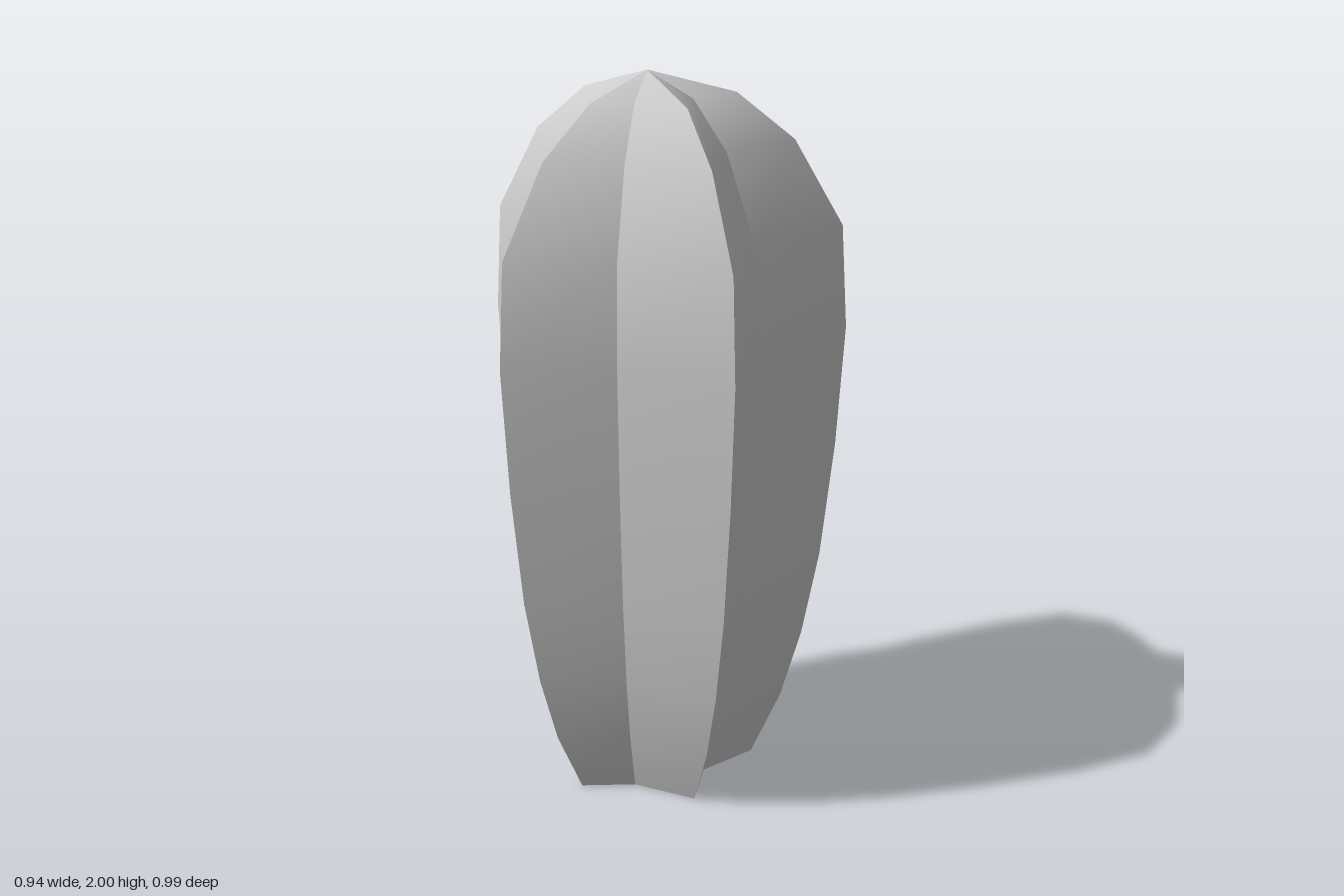
import * as THREE from 'three';

// Height and ridge radius of each ring, from the open base to the apex
const RINGS = [
  [0, 0.277], [0.18, 0.36], [0.375, 0.417], [0.62, 0.464], [0.95, 0.5],
  [1.29, 0.521], [1.575, 0.504], [1.81, 0.371], [1.938, 0.2156], [2, 0],
];
const POINTS = 5;
const VALLEY_RATIO = 0.645;
const RIDGE_X = -0.05;   // axis of the ridges
const AXIS_X = -0.069;   // axis of the valleys and apex

// Point number k around the star: even are ridges, odd are valleys
function starPoint(k, [y, r]) {
  const ridge = k % 2 === 0;
  const a = (k * Math.PI) / POINTS;
  const radius = ridge ? r : r * VALLEY_RATIO;
  const cx = ridge && r > 0 ? RIDGE_X : AXIS_X;
  return [cx + radius * Math.cos(a), y, radius * Math.sin(a)];
}

// One strip from base to apex between a ridge and the next valley
function panelGeometry(k) {
  const positions = [];
  const index = [];
  RINGS.forEach((ring, j) => {
    positions.push(...starPoint(k, ring), ...starPoint(k + 1, ring));
    if (j === RINGS.length - 1) return;
    const a = 2 * j, b = a + 1, d = a + 2, c = a + 3;
    index.push(b, a, d);
    if (j < RINGS.length - 2) index.push(b, d, c);
  });
  // The last strip triangle closes on the apex vertex
  const geometry = new THREE.BufferGeometry();
  geometry.setAttribute('position', new THREE.Float32BufferAttribute(positions, 3));
  geometry.setIndex(index);
  geometry.computeVertexNormals();
  return geometry;
}

export function createModel() {
  const model = new THREE.Group();
  model.name = 'ribbedStarShell';
  const material = new THREE.MeshStandardMaterial({ color: 0xcccccc, side: THREE.DoubleSide });

  // Separate panels keep ridges and valleys crisp, smooth along their height
  for (let k = 0; k < POINTS * 2; k++) {
    const panel = new THREE.Mesh(panelGeometry(k), material);
    panel.name = `ribPanel${k + 1}`;
    model.add(panel);
  }
  return model;
}
